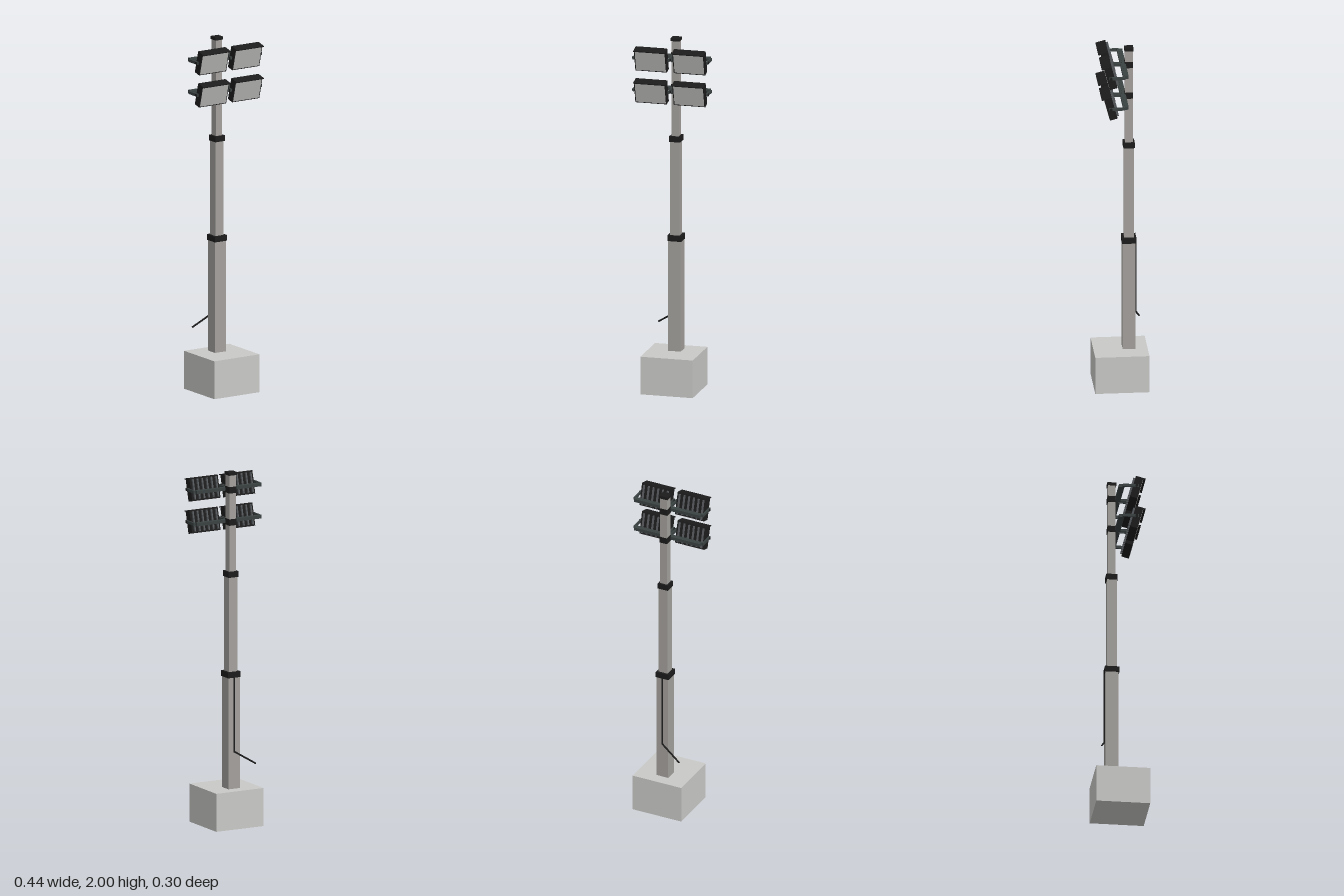
import * as THREE from 'three';

const mat = (name, color) => {
  const m = new THREE.MeshStandardMaterial({ color });
  m.name = name;
  return m;
};

export function createModel() {
  const concrete = mat('concrete', 0xc9c9c7);
  const steel = mat('pole steel', 0xa3a09c);
  const black = mat('black plastic', 0x1c1c1c);
  const bracketGrey = mat('bracket grey', 0x3b4242);
  const finGrey = mat('fin grey', 0x55585c);
  const glass = mat('lamp glass', 0xbcbcba);

  const model = new THREE.Group();
  model.name = 'floodlightMast';
  const poleZ = -0.048;

  const add = (parent, name, geometry, material, x, y, z) => {
    const mesh = new THREE.Mesh(geometry, material);
    mesh.name = name;
    mesh.position.set(x, y, z);
    parent.add(mesh);
    return mesh;
  };
  const box = (parent, name, material, [w, h, d], [x, y, z]) =>
    add(parent, name, new THREE.BoxGeometry(w, h, d), material, x, y, z);
  // Square box around the pole axis, from y0 to y1
  const poleBox = (name, material, w, y0, y1) =>
    box(model, name, material, [w, y1 - y0, w], [0, (y0 + y1) / 2, poleZ]);

  // Footing and telescoping mast
  box(model, 'footing', concrete, [0.3, 0.215, 0.3], [0, 0.1075, 0]);
  poleBox('lowerPole', steel, 0.072, 0.215, 0.86);
  poleBox('middlePole', steel, 0.054, 0.86, 1.425);
  poleBox('upperPole', steel, 0.042, 1.425, 1.985);
  poleBox('lowerCollar', black, 0.08, 0.843, 0.875);
  poleBox('middleCollar', black, 0.063, 1.408, 1.44);
  poleBox('topCap', black, 0.05, 1.983, 2);

  // Cable down the back, kinking out sideways near the ground
  const points = [[0, 0.84, -0.086], [0, 0.425, -0.086], [-0.118, 0.352, -0.115]]
    .map((p) => new THREE.Vector3(...p));
  for (let i = 0; i < 2; i++) {
    const dir = points[i + 1].clone().sub(points[i]);
    const mid = points[i].clone().add(points[i + 1]).multiplyScalar(0.5);
    const seg = add(model, 'cable', new THREE.CylinderGeometry(0.005, 0.005, dir.length() + 0.004, 8),
      black, mid.x, mid.y, mid.z);
    seg.quaternion.setFromUnitVectors(new THREE.Vector3(0, 1, 0), dir.normalize());
  }

  // One lamp with its U bracket, centred on its own pivot
  const makeLamp = () => {
    const lamp = new THREE.Group();
    lamp.name = 'lamp';

    box(lamp, 'bracketBack', bracketGrey, [0.21, 0.016, 0.01], [0, 0.003, -0.0735]);
    for (const s of [-1, 1]) {
      box(lamp, 'bracketArm', bracketGrey, [0.009, 0.016, 0.088], [s * 0.1005, 0.003, -0.0345]);
      const knob = add(lamp, 'pivotKnob', new THREE.CylinderGeometry(0.008, 0.008, 0.02, 12),
        black, s * 0.098, 0.003, -0.001);
      knob.rotation.z = Math.PI / 2;
    }

    // Housing tilted to face slightly down
    const head = new THREE.Group();
    head.name = 'lampHead';
    head.rotation.x = 0.26;
    lamp.add(head);
    box(head, 'housing', black, [0.18, 0.129, 0.043], [0, 0, 0]);
    box(head, 'lampGlass', glass, [0.17, 0.119, 0.003], [0, 0, 0.0215]);
    box(head, 'visor', black, [0.18, 0.005, 0.05], [0, 0.063, 0.01]);
    for (let i = 0; i < 6; i++) {
      box(head, 'coolingFin', finGrey, [0.008, 0.113, 0.012], [(i - 2.5) * 0.0293, 0, -0.0265]);
    }
    return lamp;
  };

  // Two rows of lamps on crossbars clamped to the upper pole
  for (const y of [1.9, 1.718]) {
    const row = new THREE.Group();
    row.name = 'lampRow';
    row.position.y = y;
    model.add(row);
    box(row, 'clamp', black, [0.046, 0.036, 0.046], [0, 0, poleZ]);
    box(row, 'crossbar', bracketGrey, [0.406, 0.018, 0.02], [0, 0, -0.02]);
    for (const s of [-1, 1]) {
      const lamp = makeLamp();
      lamp.position.set(s * 0.11, -0.004, 0.0685);
      row.add(lamp);
    }
  }
  return model;
}
